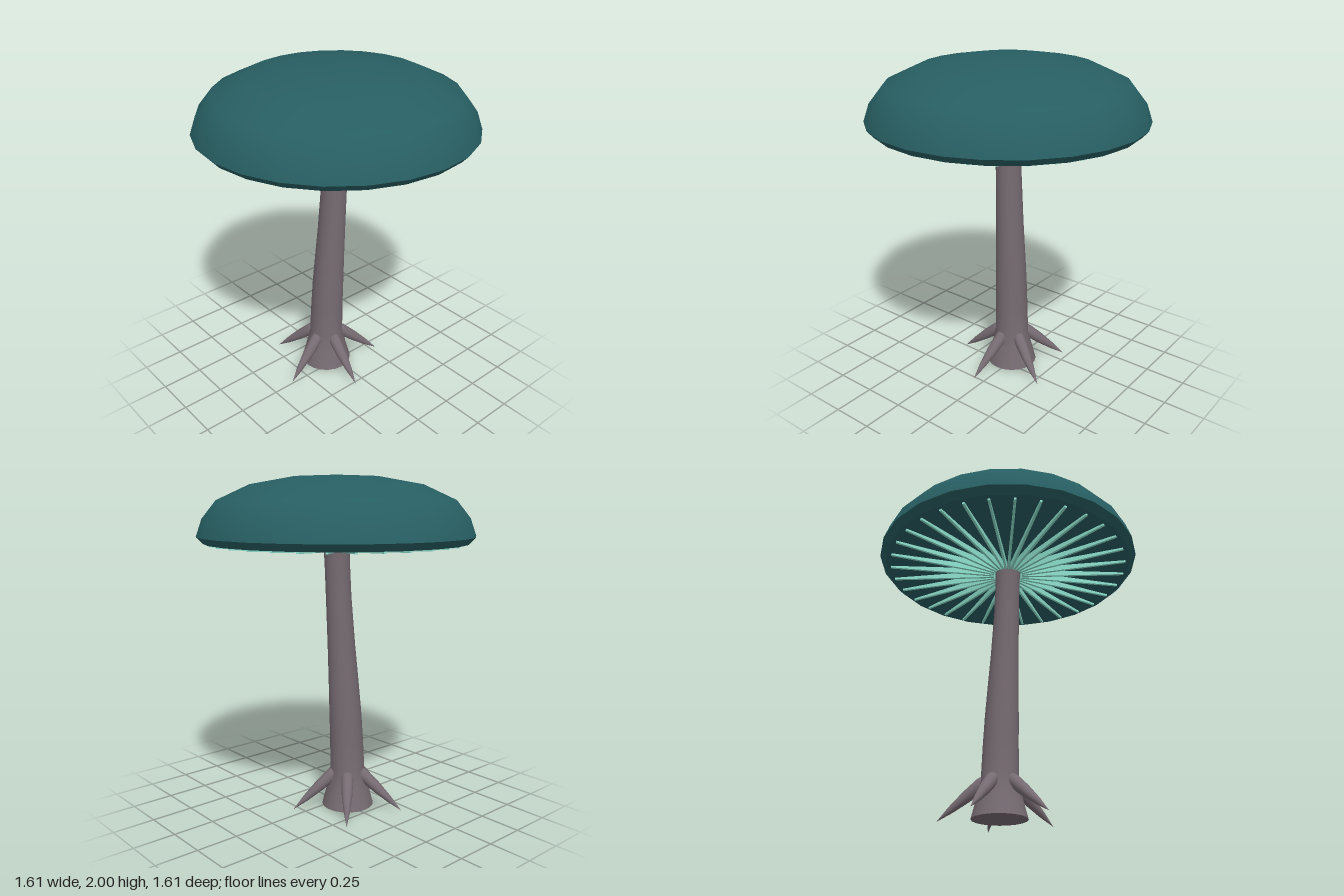
import * as THREE from 'three';

const capTeal = new THREE.MeshStandardMaterial({ color: 0x275e62 });
const gillMint = new THREE.MeshStandardMaterial({ color: 0x8fe3d0 });
const stemGrey = new THREE.MeshStandardMaterial({ color: 0x766b72 });
capTeal.name = 'capTeal';
gillMint.name = 'gillMint';
stemGrey.name = 'stemGrey';

const BASE = { x: -0.075, z: 0.025 };

function add(parent, name, geometry, material) {
  const mesh = new THREE.Mesh(geometry, material);
  mesh.name = name;
  parent.add(mesh);
  return mesh;
}

function lathe(points, sides) {
  return new THREE.LatheGeometry(points.map(([r, y]) => new THREE.Vector2(r, y)), sides);
}

// Stem: a turned profile whose centre drifts from the base to the cap
function stemGeometry() {
  const geometry = lathe([
    [0.157, 0.01], [0.128, 0.12], [0.105, 0.23], [0.101, 0.42], [0.097, 0.6],
    [0.09, 0.8], [0.083, 1.0], [0.076, 1.3], [0.075, 1.5], [0.08, 1.625],
  ], 20);
  const p = geometry.attributes.position;
  for (let i = 0; i < p.count; i++) {
    const t = THREE.MathUtils.smoothstep(p.getY(i), 0.1, 1.75);
    p.setX(i, p.getX(i) + BASE.x * (1 - t));
    p.setZ(i, p.getZ(i) + BASE.z * (1 - t));
  }
  return geometry;
}

// Cap: domed top, bevelled rim and flat underside
function buildCap() {
  const cap = new THREE.Group();
  cap.name = 'cap';
  add(cap, 'capTop', lathe([
    [0.807, 1.655], [0.772, 1.755], [0.69, 1.857], [0.5, 1.945], [0.25, 1.99], [0, 2],
  ], 24), capTeal);
  add(cap, 'capRim', lathe([[0.77, 1.615], [0.807, 1.655]], 24), capTeal);
  add(cap, 'capUnderside', lathe([[0, 1.615], [0.77, 1.615]], 24), capTeal);
  return cap;
}

// Gills: thin tapered blades radiating under the cap
function buildGills() {
  const gills = new THREE.Group();
  gills.name = 'gills';
  const blade = new THREE.Shape([
    new THREE.Vector2(0.09, 1.565), new THREE.Vector2(0.74, 1.603),
    new THREE.Vector2(0.74, 1.618), new THREE.Vector2(0.09, 1.618),
  ]);
  const geometry = new THREE.ExtrudeGeometry(blade, { depth: 0.014, bevelEnabled: false });
  geometry.translate(0, 0, -0.007);
  const count = 32;
  for (let i = 0; i < count; i++) {
    add(gills, 'gill', geometry, gillMint).rotation.y = (i / count) * Math.PI * 2;
  }
  return gills;
}

// Roots: blunt-headed spikes leaning out from the stem to the ground
function buildRoots() {
  const roots = new THREE.Group();
  roots.name = 'roots';
  const up = new THREE.Vector3(0, 1, 0);
  for (let i = 0; i < 5; i++) {
    const angle = THREE.MathUtils.degToRad(7 + i * 72);
    const at = (r, y) => new THREE.Vector3(BASE.x + r * Math.cos(angle), y, BASE.z + r * Math.sin(angle));
    const start = at(0.095, 0.21);
    const axis = at(0.345, 0.005).sub(start);
    const length = axis.length();
    const geometry = lathe([
      [0, -0.036], [0.022, -0.029], [0.035, -0.012], [0.038, 0.012],
      [0.033, length * 0.35], [0.019, length * 0.7], [0, length],
    ], 12);
    const root = add(roots, 'root', geometry, stemGrey);
    root.position.copy(start);
    root.quaternion.setFromUnitVectors(up, axis.normalize());
  }
  return roots;
}

export function createModel() {
  const model = new THREE.Group();
  model.name = 'mushroom';
  add(model, 'stem', stemGeometry(), stemGrey);
  const foot = add(model, 'stemFoot', new THREE.CircleGeometry(0.157, 20), stemGrey);
  foot.rotation.x = Math.PI / 2;
  foot.position.set(BASE.x, 0.01, BASE.z);
  model.add(buildCap(), buildGills(), buildRoots());
  return model;
}
